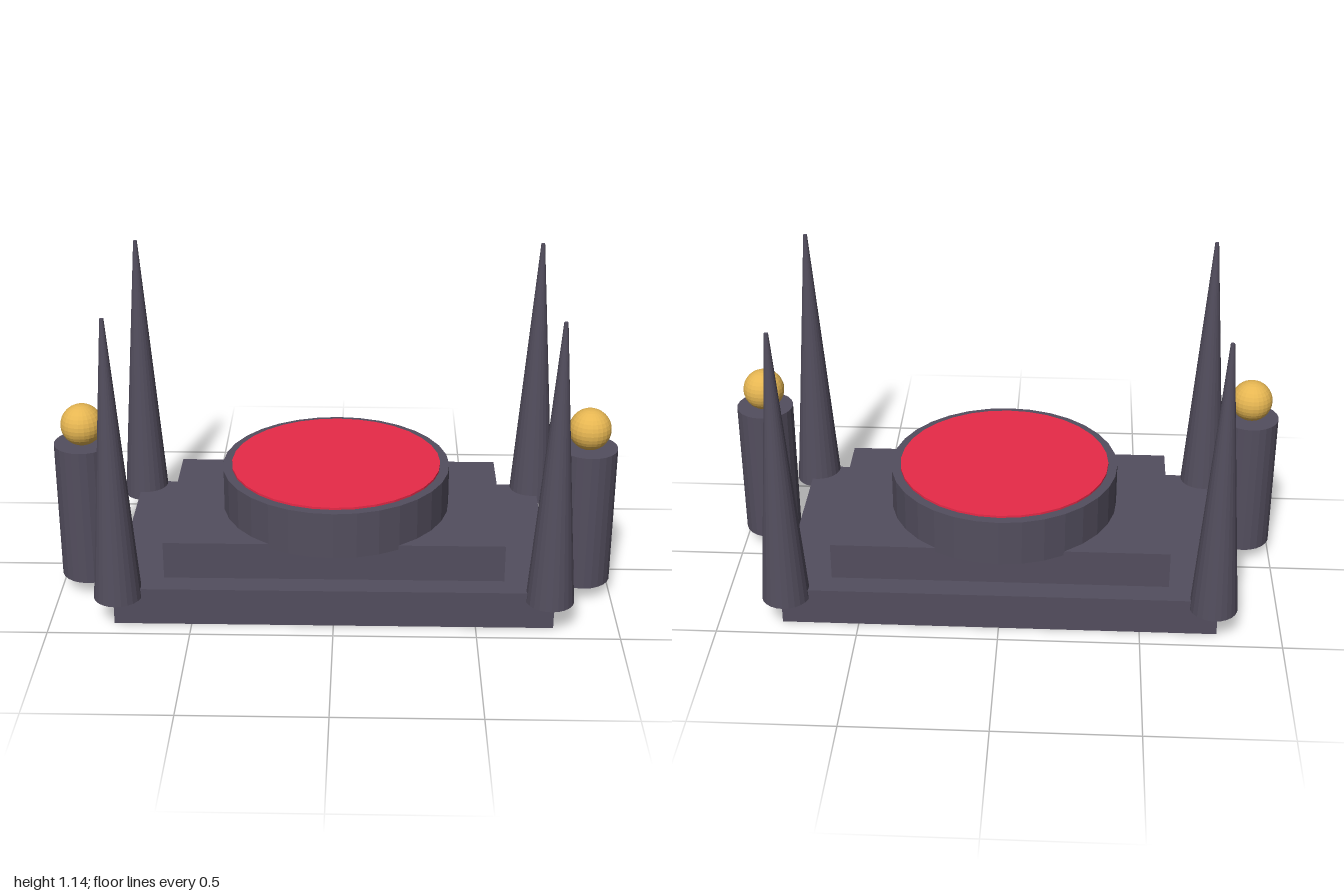
import * as THREE from 'three';

export function createModel() {
  const model = new THREE.Group();
  const material = (name, color) => {
    const m = new THREE.MeshStandardMaterial({ color, flatShading: true });
    m.name = name;
    return m;
  };
  const stone = material('dark stone', 0x534e5e);
  const red = material('crimson', 0xe82a48);
  const gold = material('gold', 0xe6b652);

  const add = (name, geometry, mat, x, y, z) => {
    const mesh = new THREE.Mesh(geometry, mat);
    mesh.name = name;
    mesh.position.set(x, y, z);
    model.add(mesh);
  };
  // Round part standing between two heights
  const round = (name, mat, rTop, rBottom, y0, y1, sides, x = 0, z = 0) =>
    add(name, new THREE.CylinderGeometry(rTop, rBottom, y1 - y0, sides), mat, x, (y0 + y1) / 2, z);

  // Stepped platform
  add('lowerStep', new THREE.BoxGeometry(1.546, 0.138, 0.86), stone, 0, 0.069, 0);
  add('upperStep', new THREE.BoxGeometry(1.204, 0.14, 0.69), stone, 0, 0.206, 0);

  // Round dais with its inlaid disc
  round('dais', stone, 0.413, 0.413, 0.26, 0.431, 32);
  round('daisDisc', red, 0.38, 0.38, 0.43, 0.439, 32);

  for (const side of [-1, 1]) {
    // Corner spires
    for (const end of [-1, 1]) {
      round('cornerSpire', stone, 0.007, 0.085, 0.104, 1.14, 24, side * 0.757, end * 0.414);
    }
    // Side pillars topped with orbs
    round('pillar', stone, 0.103, 0.103, 0.053, 0.569, 24, side * 0.897, 0.139);
    add('orb', new THREE.SphereGeometry(0.075, 24, 16), gold, side * 0.897, 0.638, 0.139);
  }
  return model;
}
